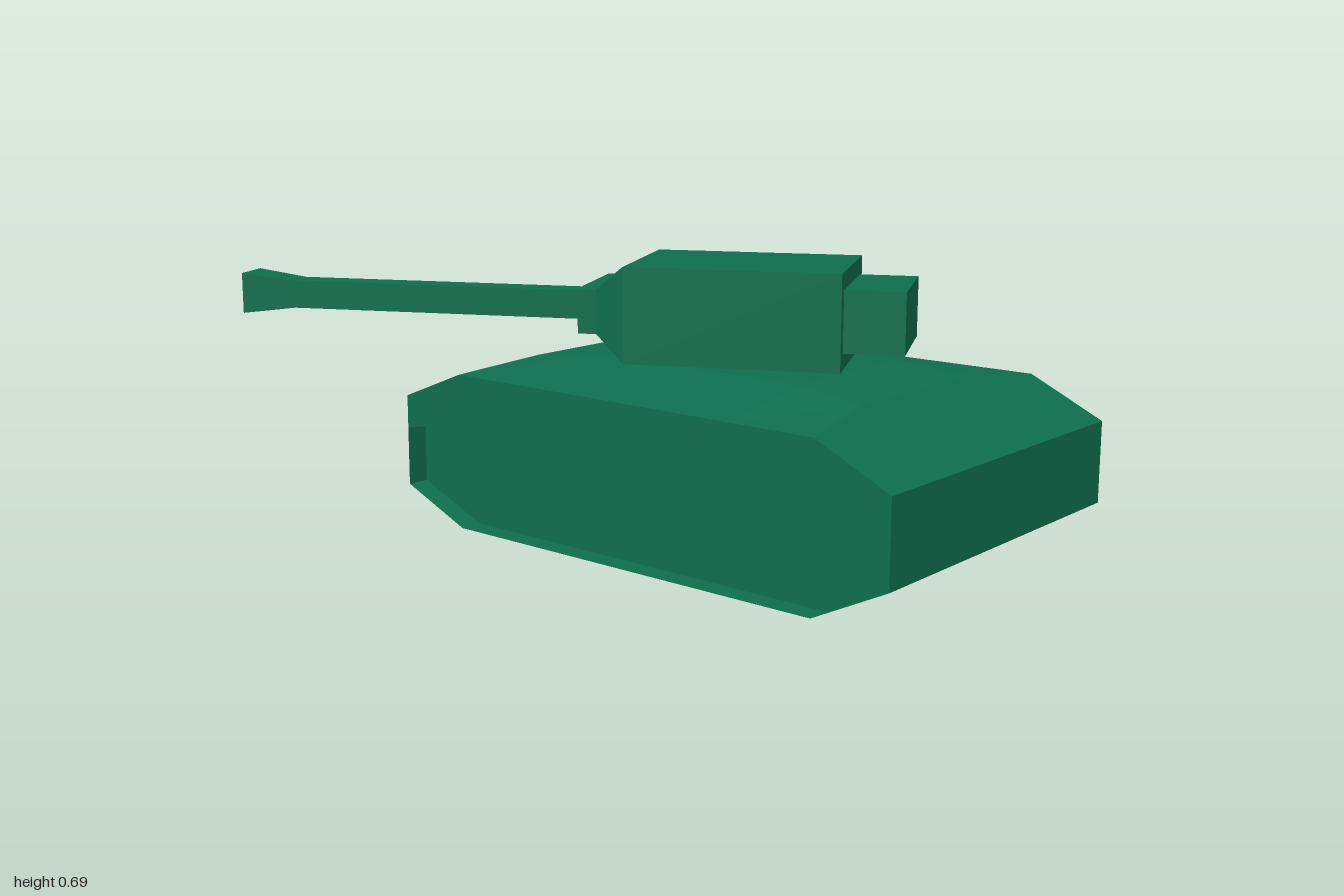
import * as THREE from 'three';

const paint = new THREE.MeshStandardMaterial({ color: 0x0e6e4e, flatShading: true });
const thinPaint = new THREE.MeshStandardMaterial({ color: 0x0e6e4e, flatShading: true, side: THREE.DoubleSide });

// Skin a row of cross-sections ordered from +z to -z, each counter-clockwise seen from +z
function loft(rings) {
  const n = rings[0].length, last = rings.length - 1, index = [];
  for (let r = 0; r < last; r++) {
    for (let i = 0; i < n; i++) {
      const j = (i + 1) % n, a = r * n + i, b = r * n + j, c = b + n, d = a + n;
      index.push(a, d, c, a, c, b);
    }
  }
  for (let i = 1; i < n - 1; i++) {
    index.push(0, i, i + 1, last * n, last * n + i + 1, last * n + i);
  }
  const g = new THREE.BufferGeometry();
  g.setAttribute('position', new THREE.Float32BufferAttribute(rings.flat(2), 3));
  g.setIndex(index);
  g.computeVertexNormals();
  return g;
}

const rect = (w, y0, y1, z) => [[w, y0, z], [w, y1, z], [-w, y1, z], [-w, y0, z]];

function add(parent, name, geometry, material = paint) {
  const mesh = new THREE.Mesh(geometry, material);
  mesh.name = name;
  parent.add(mesh);
  return mesh;
}

function createHull() {
  const hull = new THREE.Group();
  hull.name = 'hull';
  const W = 0.48, inset = 0.06;

  // Upper hull with sloped ends and a shallow raised deck:
  // [outer z, lower y, edge y, inner half width, inner y, inner z]
  const stations = [
    [1, 0.24, 0.31, 0.24, 0.31, 1],
    [0.8, 0.27, 0.405, 0.24, 0.43, 0.76],
    [0.57, 0.27, 0.405, 0.21, 0.45, 0.57],
    [-0.05, 0.27, 0.405, 0.21, 0.45, -0.05],
    [-0.3, 0.27, 0.405, 0.24, 0.43, -0.25],
    [-0.5, 0.24, 0.325, 0.24, 0.325, -0.5],
  ];
  add(hull, 'upperHull', loft(stations.map(([z, yb, ye, xi, yi, zi]) => [
    [W, yb, z], [W, ye, z], [xi, yi, zi], [-xi, yi, zi], [-W, ye, z], [-W, yb, z],
  ])));

  // Narrower lower hull
  const sections = [[1, 0.1, 0.24], [0.8, 0, 0.27], [-0.3, 0, 0.27], [-0.5, 0.085, 0.24]];
  add(hull, 'lowerHull', loft(sections.map(([z, y0, y1]) => rect(W - inset, y0, y1, z))));

  // Thin skirts that close the side recesses at the ends and underneath
  const path = [[1, 0.24], [1, 0.1], [0.8, 0], [-0.3, 0], [-0.5, 0.085], [-0.5, 0.24]];
  for (const side of [1, -1]) {
    const g = new THREE.PlaneGeometry(inset, 1, 1, path.length - 1);
    const p = g.attributes.position;
    for (let i = 0; i < p.count; i++) {
      const [z, y] = path[Math.floor(i / 2)];
      p.setXYZ(i, p.getX(i) + side * (W - inset / 2), y, z);
    }
    g.computeVertexNormals();
    add(hull, side > 0 ? 'leftSkirt' : 'rightSkirt', g, thinPaint);
  }
  hull.position.x = 0.09;
  return hull;
}

function createTurret() {
  const turret = new THREE.Group();
  turret.name = 'turret';

  // Body tapering to the gun mantlet
  add(turret, 'turretBody', loft([
    rect(0.191, 0.453, 0.695, 0),
    rect(0.191, 0.453, 0.695, -0.54),
    rect(0.148, 0.518, 0.632, -0.62),
    rect(0.148, 0.518, 0.632, -0.668),
  ]));

  // Rear stowage box
  const box = add(turret, 'stowageBox', new THREE.BoxGeometry(0.302, 0.155, 0.15));
  box.position.set(0, 0.573, 0.075);

  // Square barrel with a flared, hollow muzzle: [half width, distance forward]
  const profile = [[0.037, 0.66], [0.037, 1.49], [0.054, 1.634], [0.032, 1.634], [0.03, 1.5], [0, 1.5]]
    .map(([h, d]) => new THREE.Vector2(h * Math.SQRT2, d));
  const barrel = new THREE.LatheGeometry(profile, 4, Math.PI / 4).rotateX(-Math.PI / 2);
  add(turret, 'barrel', barrel).position.y = 0.574;

  turret.position.set(0.21, 0, 0.488);
  turret.rotation.y = 0.464;
  return turret;
}

export function createModel() {
  const model = new THREE.Group();
  model.name = 'tank';
  model.add(createHull(), createTurret());
  return model;
}
